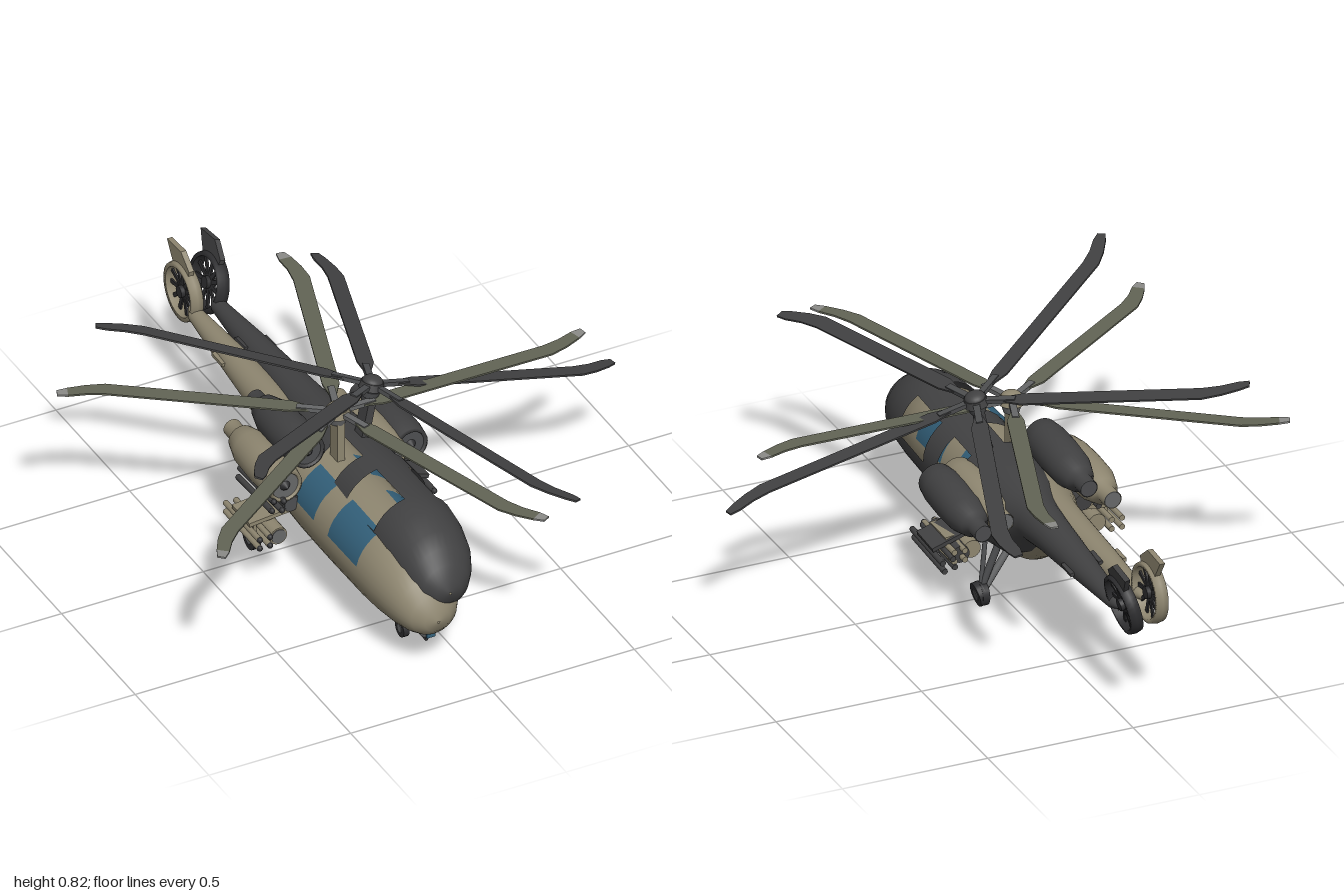
import * as THREE from 'three';

const mat = (name, color, side = THREE.FrontSide) => {
  const m = new THREE.MeshStandardMaterial({ color, side });
  m.name = name;
  return m;
};

// rounded body cross-sections: [z, bottom, top, half width]
const SECTIONS = [
  [0.847, 0.2, 0.206, 0.004], [0.838, 0.165, 0.245, 0.045], [0.815, 0.14, 0.288, 0.08],
  [0.78, 0.127, 0.33, 0.104], [0.73, 0.119, 0.365, 0.124], [0.65, 0.113, 0.393, 0.14],
  [0.565, 0.11, 0.406, 0.147], [0.375, 0.11, 0.41, 0.15], [0.28, 0.11, 0.41, 0.15],
  [0.155, 0.11, 0.41, 0.148], [0.02, 0.113, 0.41, 0.142], [-0.06, 0.126, 0.408, 0.128],
  [-0.12, 0.165, 0.405, 0.105], [-0.16, 0.215, 0.403, 0.087], [-0.21, 0.257, 0.402, 0.073],
  [-0.32, 0.278, 0.4, 0.062], [-0.55, 0.305, 0.394, 0.047], [-0.8, 0.335, 0.383, 0.027],
  [-0.84, 0.352, 0.37, 0.008],
];
const WINDOW_ROWS = [6, 8];

function hullGeometry() {
  const n = 32, pos = [], skin = [], glass = [];
  for (const [z, b, t, w] of SECTIONS)
    for (let j = 0; j < n; j++) {
      const a = (j / n) * Math.PI * 2;
      pos.push(Math.cos(a) * w, (b + t) / 2 + Math.sin(a) * (t - b) / 2, z);
    }
  for (let i = 0; i < SECTIONS.length - 1; i++)
    for (let j = 0; j < n; j++) {
      const a = i * n + j, b = i * n + (j + 1) % n;
      const side = (j >= 1 && j < 6) || (j >= 10 && j < 15);
      const list = WINDOW_ROWS.includes(i) && side ? glass : skin;
      list.push(a, a + n, b, b, a + n, b + n);
    }
  const g = new THREE.BufferGeometry();
  g.setAttribute('position', new THREE.Float32BufferAttribute(pos, 3));
  g.setIndex([...skin, ...glass]);
  g.computeVertexNormals();
  g.addGroup(0, skin.length, 0);
  g.addGroup(skin.length, glass.length, 1);
  return g;
}

function add(parent, name, geo, material, x = 0, y = 0, z = 0) {
  const m = new THREE.Mesh(geo, material);
  m.name = name;
  m.position.set(x, y, z);
  parent.add(m);
  return m;
}
const box = (w, h, d) => new THREE.BoxGeometry(w, h, d);
const cylZ = (r1, r2, l, n = 16) => new THREE.CylinderGeometry(r1, r2, l, n).rotateX(Math.PI / 2);
const cylX = (r, l, n = 20) => new THREE.CylinderGeometry(r, r, l, n).rotateZ(Math.PI / 2);

// round bar between two points
function rod(parent, name, a, b, r, material) {
  const p = new THREE.Vector3(...a), d = new THREE.Vector3(...b).sub(p);
  const m = add(parent, name, new THREE.CylinderGeometry(r, r, d.length(), 10), material);
  m.position.copy(p).addScaledVector(d, 0.5);
  m.quaternion.setFromUnitVectors(new THREE.Vector3(0, 1, 0), d.normalize());
}

// flat plate from a plan outline, lying in xz (shape y becomes -z)
function plate(points, depth) {
  const s = new THREE.Shape(points.map(p => new THREE.Vector2(...p)));
  return new THREE.ExtrudeGeometry(s, { depth, bevelEnabled: false }).translate(0, 0, -depth / 2);
}

function helicopter(name, c) {
  const g = new THREE.Group();
  g.name = name;

  const hull = hullGeometry();
  if (!c.glass) hull.groups.pop(); // open window frames
  add(g, 'fuselage', hull, [c.body, c.glass || c.body]);

  // mast and rotor
  add(g, 'mast', box(0.026, 0.17, 0.05), c.body, 0, 0.48, 0.16);
  add(g, 'swashplate', new THREE.CylinderGeometry(0.032, 0.026, 0.022, 16), c.metal, 0, 0.555, 0.16);
  const rotor = new THREE.Group();
  rotor.name = 'mainRotor';
  rotor.position.set(0, 0.585, 0.16);
  g.add(rotor);
  add(rotor, 'rotorHub', new THREE.CylinderGeometry(0.036, 0.042, 0.024, 20), c.body);
  add(rotor, 'rotorCap', new THREE.SphereGeometry(0.034, 20, 8, 0, Math.PI * 2, 0, Math.PI / 2), c.body, 0, 0.01, 0).scale.y = 0.6;
  const bladeGeo = plate([[0.09, -0.012], [0.15, -0.03], [0.74, -0.029], [0.8, -0.012], [0.855, 0.012],
    [0.845, 0.052], [0.79, 0.034], [0.73, 0.025], [0.15, 0.025], [0.09, 0.012]], 0.006).rotateX(-Math.PI / 2);
  const tipGeo = plate([[0.855, 0.012], [0.885, 0.03], [0.88, 0.056], [0.845, 0.052]], 0.006).rotateX(-Math.PI / 2);
  for (let i = 0; i < 5; i++) {
    const arm = new THREE.Group();
    arm.name = 'rotorBlade';
    arm.rotation.y = -(i * 72 + 0.5) * Math.PI / 180;
    rotor.add(arm);
    add(arm, 'bladeGrip', box(0.11, 0.014, 0.022), c.metal, 0.075, 0, 0);
    add(arm, 'blade', bladeGeo, c.blade);
    add(arm, 'bladeTip', tipGeo, c.tip);
  }

  // shrouded tail fan with fin
  const fan = new THREE.Group();
  fan.name = 'tailFan';
  fan.position.set(0, 0.4, -0.885);
  g.add(fan);
  const ring = [[0.084, -0.02], [0.098, -0.02], [0.102, 0], [0.098, 0.02], [0.084, 0.02], [0.084, -0.02]];
  add(fan, 'fanShroud', new THREE.LatheGeometry(ring.map(p => new THREE.Vector2(...p)), 36).rotateZ(-Math.PI / 2), c.shroud);
  add(fan, 'fanHub', cylX(0.02, 0.034), c.detail);
  for (let i = 0; i < 11; i++) {
    const b = add(fan, 'fanBlade', box(0.006, 0.075, 0.014).translate(0, 0.05, 0), c.detail);
    b.rotation.x = (i / 11) * Math.PI * 2;
  }
  // shape x runs rearward after the turn
  add(fan, 'tailFin', plate([[-0.05, 0.085], [-0.055, 0.105], [0.0, 0.15], [0.095, 0.143], [0.055, 0.08], [0, 0.097]], 0.018)
    .rotateY(Math.PI / 2), c.body);

  // chin sensor and gun
  add(g, 'sensorBall', new THREE.SphereGeometry(0.027, 16, 12), c.metal, 0, 0.125, 0.765);
  add(g, 'sensorWindow', box(0.03, 0.024, 0.006), c.lens, 0, 0.125, 0.792);
  add(g, 'gunTurret', new THREE.CylinderGeometry(0.034, 0.026, 0.04, 16), c.metal, 0, 0.098, 0.58);
  add(g, 'gunBarrel', cylZ(0.006, 0.006, 0.19, 10), c.detail, 0, 0.088, 0.67);
  // nose gear
  rod(g, 'noseStrut', [0, 0.12, 0.59], [0, 0.035, 0.6], 0.009, c.metal);
  add(g, 'noseWheel', cylX(0.03, 0.02), c.detail, 0, 0.031, 0.6);
  add(g, 'noseWheelCap', cylX(0.015, 0.024), c.metal, 0, 0.031, 0.6);

  const engineProfile = [[0.03, -0.2], [0.03, -0.15], [0.046, -0.135], [0.064, -0.07], [0.068, 0.03],
    [0.066, 0.11], [0.058, 0.165], [0.048, 0.17], [0.044, 0.155]].map(p => new THREE.Vector2(...p));
  for (const s of [-1, 1]) {
    // engine
    add(g, 'engine', new THREE.LatheGeometry(engineProfile, 28).rotateX(Math.PI / 2), c.body, s * 0.185, 0.36, 0);
    add(g, 'engineIntake', cylZ(0.047, 0.047, 0.006, 24), c.metal, s * 0.185, 0.36, 0.158);
    add(g, 'intakeCone', new THREE.ConeGeometry(0.02, 0.025, 16).rotateX(Math.PI / 2), c.detail, s * 0.185, 0.36, 0.17);
    add(g, 'exhaust', cylZ(0.028, 0.028, 0.006), c.metal, s * 0.185, 0.36, -0.197);

    // stub wing with stores
    const wing = add(g, 'stubWing', box(0.19, 0.014, 0.12), c.body, s * 0.2, 0.233, 0.07);
    wing.rotation.z = -s * 0.1;
    add(g, 'innerPylon', box(0.01, 0.03, 0.08), c.body, s * 0.215, 0.218, 0.08);
    add(g, 'rocketPod', cylZ(0.03, 0.03, 0.19, 18), c.body, s * 0.215, 0.186, 0.08);
    add(g, 'rocketPodFace', cylZ(0.025, 0.025, 0.006, 18), c.metal, s * 0.215, 0.186, 0.175);
    add(g, 'outerPylon', box(0.01, 0.04, 0.08), c.body, s * 0.27, 0.205, 0.08);
    for (const dx of [-0.018, 0.018])
      for (const dy of [0, -0.032]) {
        add(g, 'missile', cylZ(0.01, 0.01, 0.23, 10), c.body, s * 0.27 + dx, 0.202 + dy, 0.07);
        add(g, 'missileNose', new THREE.SphereGeometry(0.01, 10, 8), c.detail, s * 0.27 + dx, 0.202 + dy, 0.187);
      }

    // main gear
    rod(g, 'mainLeg', [s * 0.1, 0.19, -0.05], [s * 0.19, 0.05, -0.045], 0.012, c.metal);
    rod(g, 'mainBrace', [s * 0.13, 0.2, -0.02], [s * 0.18, 0.08, -0.045], 0.008, c.metal);
    add(g, 'mainWheel', cylX(0.04, 0.024), c.detail, s * 0.196, 0.041, -0.045);
    add(g, 'mainWheelCap', cylX(0.02, 0.028), c.metal, s * 0.196, 0.041, -0.045);

    add(g, 'tailStrake', box(0.014, 0.012, 0.07), c.body, s * 0.05, 0.36, -0.55);
  }
  return g;
}

export function createModel() {
  const D = THREE.DoubleSide;
  const sand = mat('sand', 0x8e8670, D), charcoal = mat('charcoal', 0x414142, D);
  const metal = mat('grey metal', 0x666768), black = mat('black detail', 0x2e2e30);
  const olive = mat('olive blade', 0x626455), tip = mat('light blade tip', 0x8b8b88);
  const glass = mat('teal glass', 0x33607a, D), gunmetal = mat('gunmetal', 0x4c4d4f);

  const model = new THREE.Group();
  model.name = 'pairOfHelicopters';

  const level = helicopter('sandHelicopter', {
    body: sand, glass, blade: olive, tip, metal, detail: black, shroud: sand, lens: glass,
  });
  level.position.x = -0.11;
  model.add(level);

  // second machine banked about its rotor hub
  const bank = new THREE.Group();
  bank.name = 'bankedPose';
  bank.position.set(0.027, 0.625, 0.13);
  bank.rotation.set(-0.053, -0.004, -0.23);
  const dark = helicopter('darkHelicopter', {
    body: charcoal, glass: null, blade: charcoal, tip: charcoal, metal: gunmetal, detail: black, shroud: black, lens: black,
  });
  dark.position.set(0, -0.585, -0.16);
  bank.add(dark);
  model.add(bank);
  return model;
}
